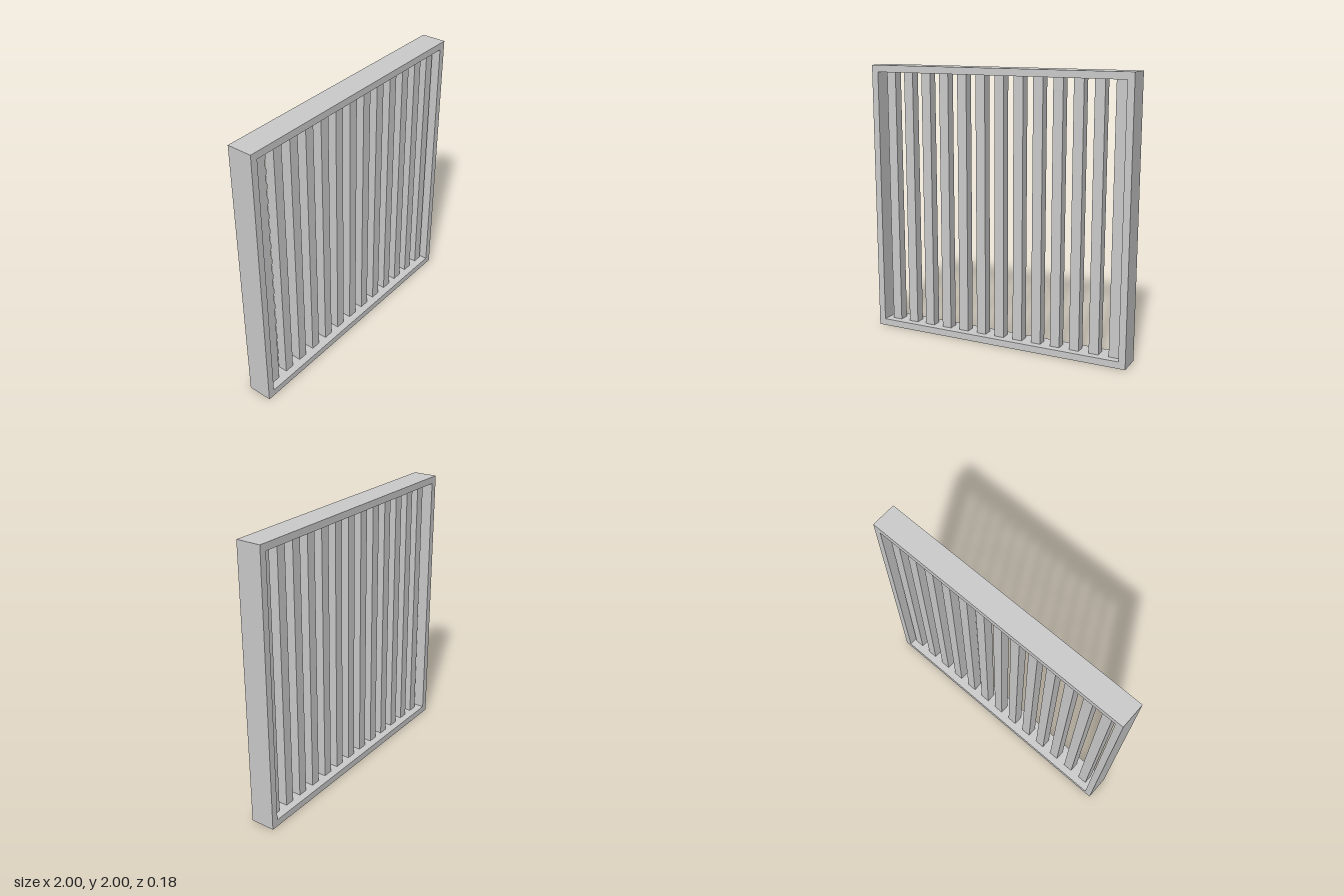
import * as THREE from 'three';

const SIZE = 2, DEPTH = 0.18, RIM = 0.05;
const BAR = 0.072, BAR_COUNT = 13, FIRST_X = -0.87, SPACING = 0.1473;

function rectangle(path, half) {
  path.moveTo(-half, -half);
  path.lineTo(half, -half);
  path.lineTo(half, half);
  path.lineTo(-half, half);
  path.closePath();
  return path;
}

export function createModel() {
  const model = new THREE.Group();
  model.name = 'barredWindow';
  const material = new THREE.MeshStandardMaterial({ color: 0xcccccc, flatShading: true });

  // Square frame with an open middle
  const outline = rectangle(new THREE.Shape(), SIZE / 2);
  outline.holes.push(rectangle(new THREE.Path(), SIZE / 2 - RIM));
  const frameGeometry = new THREE.ExtrudeGeometry(outline, { depth: DEPTH, bevelEnabled: false });
  frameGeometry.translate(0, SIZE / 2, -DEPTH / 2);
  const frame = new THREE.Mesh(frameGeometry, material);
  frame.name = 'frame';
  model.add(frame);

  // Evenly spaced square upright bars, set midway through the frame
  const bars = new THREE.Group();
  bars.name = 'bars';
  const barGeometry = new THREE.BoxGeometry(BAR, SIZE - 2 * RIM, BAR);
  for (let i = 0; i < BAR_COUNT; i++) {
    const bar = new THREE.Mesh(barGeometry, material);
    bar.name = `bar${i + 1}`;
    bar.position.set(FIRST_X + i * SPACING, SIZE / 2, 0);
    bars.add(bar);
  }
  model.add(bars);
  return model;
}
